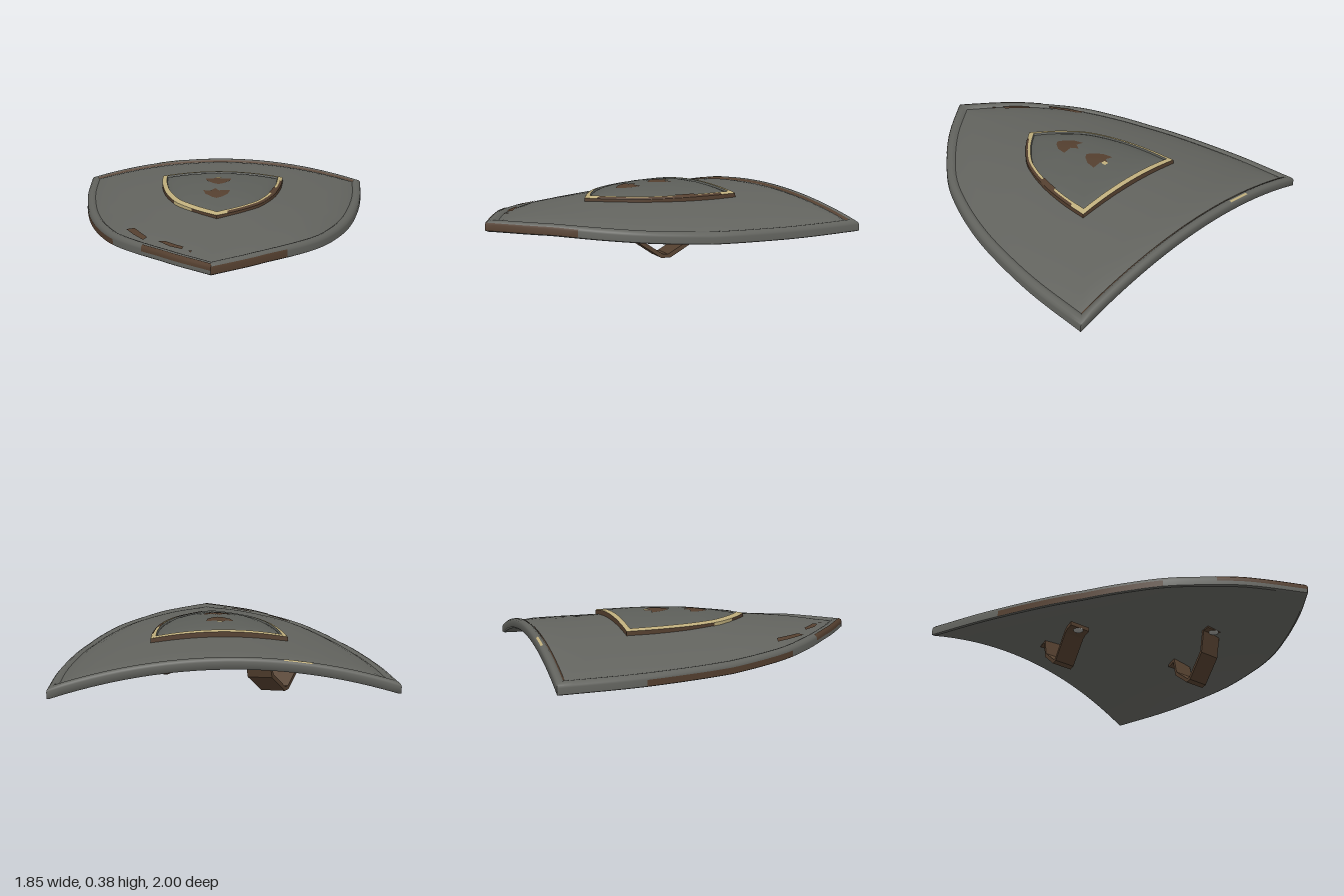
import * as THREE from 'three';
import { toCreasedNormals } from 'three/addons/utils/BufferGeometryUtils.js';

const mat = (name, color) => new THREE.MeshStandardMaterial({ name, color, side: THREE.DoubleSide });

// Outline of the right half: straight back edge, then the curved side to the point
const sideCurve = new THREE.CatmullRomCurve3([
  [0.925, -1], [0.895, -0.6], [0.825, -0.2], [0.77, 0], [0.698, 0.2],
  [0.59, 0.42], [0.44, 0.61], [0.24, 0.81], [0, 0.998],
].map(([x, z]) => new THREE.Vector3(x, 0, z)));
const side = sideCurve.getPoints(40).map(p => [p.x, p.z]);
const half = [];
for (let i = 0; i < 12; i++) half.push([0.925 * i / 12, -1]);
half.push(...side);
const outline = [...half, ...half.slice(1, -1).reverse().map(([x, z]) => [-x, z])];

// Linear lookup in a list of [key, value] pairs
function lookup(table, k) {
  for (let i = 1; i < table.length; i++) {
    const [a, va] = table[i - 1], [b, vb] = table[i];
    if (k <= b) return va + (vb - va) * Math.max(0, (k - a) / (b - a));
  }
  return table[table.length - 1][1];
}
const widths = side.map(([x, z]) => [z, x]);

// Arched height: crown along the middle, falling to the edge on both sides
const arch = (crown, edge) => (x, z) => {
  const u = Math.min(1, Math.abs(x) / Math.max(0.001, lookup(widths, z)));
  const e = lookup(edge, z);
  return e + (lookup(crown, z) - e) * (1 - u * u);
};
const bodyHeight = arch(
  [[-1, 0.324], [-0.9, 0.322], [-0.5, 0.333], [0, 0.33], [0.33, 0.307], [0.8, 0.265], [1, 0.259]],
  [[-1, 0.177], [-0.5, 0.179], [0, 0.188], [0.3, 0.209], [0.57, 0.233], [0.75, 0.252], [1, 0.259]]);
const bossHeight = arch(
  [[-1, 0.366], [-0.65, 0.376], [-0.3, 0.38], [0.2, 0.371], [1, 0.33]],
  [[-1, 0.331], [1, 0.33]]);
const BOSS = 0.417, BOSS_Z = -0.08;
const onBody = (x, z, dy) => [x, bodyHeight(x, z) + dy, z];
const onBoss = (x, z, dy) => [x * BOSS, bossHeight(x, z) + dy, z * BOSS + BOSS_Z];

// Concentric rings of an outline; profile holds [scale, height offset] pairs
function rings(points, centre, profile, place, keep = () => true) {
  const pos = [], index = [], n = points.length;
  for (const [s, dy] of profile) {
    for (const [px, pz] of points) {
      pos.push(...place(centre[0] + (px - centre[0]) * s, centre[1] + (pz - centre[1]) * s, dy));
    }
  }
  for (let i = 0; i + 1 < profile.length; i++) {
    for (let j = 0; j < n; j++) {
      const k = (j + 1) % n;
      if (!keep((points[j][0] + points[k][0]) / 2, (points[j][1] + points[k][1]) / 2)) continue;
      const a = i * n + j, b = i * n + k, c = a + n, d = b + n;
      index.push(a, d, c, a, b, d);
    }
  }
  const g = new THREE.BufferGeometry();
  g.setAttribute('position', new THREE.Float32BufferAttribute(pos, 3));
  g.setIndex(index);
  return toCreasedNormals(g, 0.9);
}

// Band of rectangular section following a path of [along, y] points
function band(path, width, thick) {
  const outer = [], inner = [];
  path.forEach(([t, y], i) => {
    const a = path[Math.max(0, i - 1)], b = path[Math.min(path.length - 1, i + 1)];
    const dx = b[0] - a[0], dy = b[1] - a[1], l = Math.hypot(dx, dy);
    const nx = -dy / l * thick / 2, ny = dx / l * thick / 2;
    outer.push(new THREE.Vector2(t + nx, y + ny));
    inner.unshift(new THREE.Vector2(t - nx, y - ny));
  });
  const g = new THREE.ExtrudeGeometry(new THREE.Shape([...outer, ...inner]), { depth: width, bevelEnabled: false });
  return g.translate(0, 0, -width / 2);
}

export function createModel() {
  const steel = mat('steel', 0x62635e);
  const darkSteel = mat('dark steel', 0x5c5e59);
  const rust = mat('rust', 0x543f2f);
  const brass = mat('brass', 0xbfae7c);
  const leather = mat('leather', 0x54402f);
  const rivetGrey = mat('rivet grey', 0x9a9a96);

  const model = new THREE.Group();
  const add = (name, geometry, material, parent = model) => {
    const m = new THREE.Mesh(geometry, material);
    m.name = name;
    parent.add(m);
    return m;
  };
  const C = [0, -0.2];

  // Shield body: front panel, raised rounded rim and hollow back
  add('frontPanel', rings(outline, C,
    [[0, 0], [0.2, 0], [0.4, 0], [0.6, 0], [0.75, 0], [0.84, -0.001], [0.9, -0.007], [0.937, -0.015]], onBody), steel);
  add('rim', rings(outline, C,
    [[0.937, -0.015], [0.952, -0.003], [0.965, 0.002], [0.985, 0], [0.997, -0.008], [1, -0.018], [1, -0.053], [0.988, -0.061]], onBody), steel);
  add('backPanel', rings(outline, C,
    [[0.988, -0.061], [0.9, -0.062], [0.75, -0.06], [0.6, -0.06], [0.4, -0.06], [0.2, -0.06], [0, -0.06]], onBody), steel);

  // Worn rust on the rim
  add('rimRustTipLeft', rings(outline, C, [[0.998, -0.008], [1.002, -0.018], [1.002, -0.052]], onBody,
    (x, z) => x > 0 && z > 0.65), rust);
  add('rimRustTipRight', rings(outline, C, [[0.984, 0.003], [0.998, -0.006], [1.002, -0.018], [1.002, -0.03]], onBody,
    (x, z) => x < 0 && z > 0.66), rust);
  add('rimRustSide', rings(outline, C, [[1.002, -0.018], [1.002, -0.052]], onBody,
    (x, z) => x < 0 && z > -0.55 && z < 0.4), rust);
  add('rimRustBack', rings(outline, C, [[0.934, -0.012], [0.94, -0.01], [0.95, -0.001]], onBody,
    (x, z) => z < -0.99 && Math.abs(x) < 0.9), rust);
  add('rimBrassWear', rings(outline, C, [[0.975, 0.003], [0.986, 0.002], [0.992, -0.002]], onBody,
    (x, z) => z < -0.99 && x < -0.3 && x > -0.5), brass);

  // Raised central boss of the same outline: steel face, brass bevel, rusted skirt
  const boss = new THREE.Group();
  boss.name = 'boss';
  model.add(boss);
  add('bossPanel', rings(outline, C,
    [[0, 0], [0.25, 0], [0.5, 0], [0.7, 0], [0.83, -0.003], [0.89, -0.008], [0.908, -0.011], [0.92, 0.001]], onBoss), darkSteel, boss);
  add('bossTrim', rings(outline, C, [[0.92, 0.001], [0.985, 0], [1, -0.004]], onBoss), brass, boss);
  add('bossSkirt', rings(outline, C, [[1, -0.004], [1.005, -0.05]], onBoss), rust, boss);
  add('bossTrimWear', rings(outline, C, [[0.965, 0.003], [0.987, 0.002], [1.003, -0.004]], onBoss,
    (x, z) => x > 0 && z > -0.75 && z < 0.9), rust, boss);
  add('bossTrimSpot', rings(outline, C, [[0.915, 0.004], [0.97, 0.003]], onBoss,
    (x, z) => x > 0 && z > -0.35 && z < -0.05), rust, boss);
  add('bossSkirtWear', rings(outline, C, [[1.004, -0.003], [1.007, -0.024]], onBoss,
    (x, z) => x < 0 && z > 0.35 && z < 0.7), brass, boss);

  // Thin rust patches laid on the surfaces
  const patch = (name, points, place) => {
    const c = [0, 1].map(k => points.reduce((s, p) => s + p[k], 0) / points.length);
    add(name, rings(points, c, [0, 0.35, 0.7, 1].map(s => [s, 0.002]), place), rust);
  };
  patch('rustStreakUpper', [[-0.52, 0.36], [-0.47, 0.37], [-0.43, 0.45], [-0.38, 0.54], [-0.4, 0.57], [-0.47, 0.46]], onBody);
  patch('rustStreakLower', [[-0.31, 0.62], [-0.27, 0.63], [-0.21, 0.69], [-0.16, 0.73], [-0.17, 0.76], [-0.24, 0.71]], onBody);
  patch('rustFleck', [[-0.135, 0.78], [-0.11, 0.785], [-0.12, 0.81]], onBody);
  const spot = [[-0.085, -0.05], [-0.04, -0.04], [-0.015, -0.08], [0.01, -0.04], [0.075, -0.05], [0.065, 0.01], [0.03, 0.06], [0, 0.08], [-0.03, 0.06], [-0.07, 0.01]];
  for (const [name, z] of [['rustSpotBack', -0.22], ['rustSpotFront', 0.02]]) {
    patch(name, spot.map(([x, dz]) => [(x - 0.012) / BOSS, (z + dz - BOSS_Z) / BOSS]), onBoss);
  }
  const fleck = [[-0.03, -0.3], [0, -0.3], [0, -0.27], [-0.03, -0.27]];
  add('brassFleck', rings(fleck.map(([x, z]) => [x / BOSS, (z - BOSS_Z) / BOSS]), [-0.036, -0.49],
    [[0, 0.004], [1, 0.004]], onBoss), brass);

  // Two riveted arm straps: each runs diagonally while its width stays nearly sideways
  const slant = new THREE.Matrix4().makeBasis(
    new THREE.Vector3(0.53, 0, -0.85), new THREE.Vector3(0, 1, 0), new THREE.Vector3(0.97, 0, 0.22));
  for (const [name, x, z, low, endA, endB] of [
    ['leftStrap', 0.335, 0.03, 0.011, 0.25, 0.226],
    ['rightStrap', -0.315, -0.5, 0.036, 0.155, 0.26],
  ]) {
    const strap = new THREE.Group();
    strap.name = name;
    strap.position.set(x, 0, z);
    model.add(strap);
    add('band', band([[-0.29, endA], [-0.22, endA], [-0.185, low + 0.11], [-0.02, low],
      [0.02, low], [0.185, low + 0.11], [0.22, endB], [0.3, endB]], 0.135, 0.024).applyMatrix4(slant), leather, strap);
    for (const [t, y] of [[-0.26, endA], [0.27, endB]]) {
      const rivet = add('rivet', new THREE.SphereGeometry(0.03, 12, 8), rivetGrey, strap);
      rivet.position.set(t * 0.53, y - 0.01, t * -0.85);
      rivet.scale.y = 0.5;
    }
  }
  return model;
}
